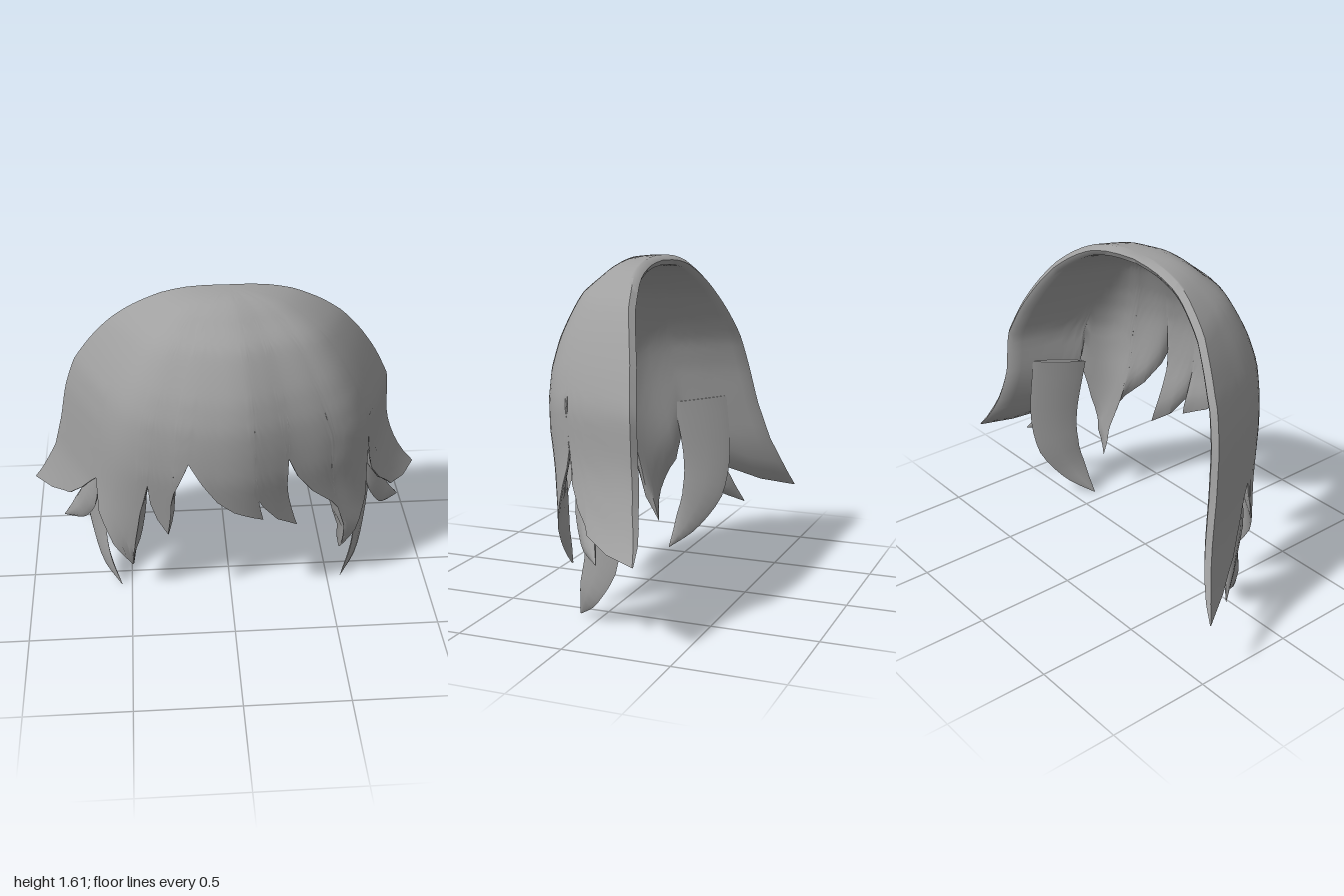
import * as THREE from 'three';
import { toCreasedNormals } from 'three/addons/utils/BufferGeometryUtils.js';

const hair = new THREE.MeshStandardMaterial({ color: 0xa0a0a0, side: THREE.DoubleSide });
hair.name = 'hair grey';

const TOP = 1.62;
const depth = (y) => Math.sqrt(Math.max(0, TOP - y));

// Interpolates a [height, value] table that runs from the crown downwards.
function lookup(table, y) {
  const s = depth(y);
  for (let i = 1; i < table.length; i++) {
    const s0 = depth(table[i - 1][0]), s1 = depth(table[i][0]);
    if (s <= s1) return THREE.MathUtils.lerp(table[i - 1][1], table[i][1], (s - s0) / (s1 - s0));
  }
  return table[table.length - 1][1];
}

// Half width, rim depth and front depth of the scalp shell at each height.
const dome = [[TOP, 0], [1.61, 0.17], [1.58, 0.3], [1.52, 0.42], [1.43, 0.54], [1.31, 0.64], [1.16, 0.735]];
const widthRight = [...dome, [1.0, 0.785], [0.8, 0.82], [0.6, 0.865], [0.5, 0.905], [0.4, 0.95], [0.31, 1]];
const widthLeft = [...dome, [1.0, 0.81], [0.8, 0.82], [0.7, 0.84], [0.6, 0.88], [0.5, 0.93], [0.41, 1]];
const rim = [[TOP, -0.04], [1.55, -0.075], [1.42, -0.125], [1.2, -0.2], [1.0, -0.24]];
const rimRight = [...rim, [0.8, -0.28], [0.6, -0.34], [0.4, -0.42], [0.31, -0.46]];
const rimLeft = [...rim, [0.8, -0.25], [0.6, -0.28], [0.41, -0.33], [0.3, -0.36]];
const front = [[TOP, -0.04], [1.61, 0.08], [1.56, 0.175], [1.53, 0.21], [1.46, 0.3], [1.37, 0.355], [1.25, 0.415],
  [1.12, 0.45], [1.0, 0.455], [0.85, 0.45], [0.7, 0.42], [0.5, 0.38], [0.3, 0.33], [0.17, 0.25]];

// Forward bulge across the width, from right rim to left rim.
const bulge = new THREE.CubicInterpolant(
  [-1, -0.94, -0.87, -0.75, -0.65, -0.37, -0.08, 0.08, 0.2, 0.33, 0.55, 0.74, 0.84, 0.93, 1],
  [0, 0.14, 0.3, 0.57, 0.73, 0.91, 0.99, 0.99, 0.95, 0.89, 0.8, 0.66, 0.47, 0.22, 0], 1, [0]);

const halfWidth = (side, y) => lookup(side < 0 ? widthRight : widthLeft, y);

// Point on the shell; n runs from -1 (right rim) to 1 (left rim).
function shellPoint(n, y) {
  const back = lookup(n < 0 ? rimRight : rimLeft, y);
  return new THREE.Vector3(n * halfWidth(n, y), y, back + (lookup(front, y) - back) * bulge.evaluate(n)[0]);
}

// Lower edge of the fringe, tip by tip, as x and y.
const hairline = [
  [-1, 0.31], [-0.9, 0.35], [-0.8, 0.42], [-0.73, 0.52], [-0.65, 0.66],
  [-0.645, 0.48], [-0.58, 0.32], [-0.49, 0.17], [-0.48, 0.3], [-0.46, 0.5], [-0.42, 0.68], [-0.4, 0.78],
  [-0.39, 0.67], [-0.36, 0.57], [-0.31, 0.48], [-0.31, 0.6], [-0.28, 0.76], [-0.21, 0.95],
  [-0.15, 0.84], [-0.08, 0.73], [0, 0.66], [0.14, 0.59], [0.12, 0.68], [0.09, 0.77],
  [0.14, 0.67], [0.21, 0.57], [0.31, 0.5], [0.27, 0.6], [0.25, 0.75], [0.25, 0.94],
  [0.3, 0.82], [0.38, 0.7], [0.48, 0.6], [0.56, 0.48], [0.57, 0.35], [0.55, 0.24],
  [0.62, 0.36], [0.66, 0.55], [0.67, 0.8], [0.7, 0.66], [0.75, 0.57], [0.83, 0.47], [0.92, 0.425], [1, 0.41],
];

function makeGeometry(positions, index) {
  const geometry = new THREE.BufferGeometry();
  geometry.setAttribute('position', new THREE.Float32BufferAttribute(positions, 3));
  geometry.setIndex(index);
  return toCreasedNormals(geometry, 1.0);
}

function fringeGeometry() {
  const SUB = 3, ROWS = 30;
  const ends = [];
  for (let i = 0; i < hairline.length - 1; i++) {
    for (let k = 0; k < SUB; k++) {
      const f = k / SUB, [a, b] = [hairline[i], hairline[i + 1]];
      ends.push([a[0] + (b[0] - a[0]) * f, a[1] + (b[1] - a[1]) * f]);
    }
  }
  ends.push(hairline[hairline.length - 1]);
  const last = ends.length - 1;
  const bottom = ends.map(([x, y]) => THREE.MathUtils.clamp(x / halfWidth(x, y), -1, 1));
  // Column starts keep their order and are spread more evenly than the ends.
  const start = [...bottom].sort((a, b) => a - b).map((n, i) => 0.65 * n + 0.35 * (2 * i / last - 1));

  // Every column runs from the crown to the hairline, outside and inside.
  const outer = [], inner = [], rolled = [];
  ends.forEach(([, yEnd], i) => {
    for (let j = 0; j <= ROWS; j++) {
      const v = j / ROWS;
      const n = start[i] + (bottom[i] - start[i]) * v ** 4;
      const p = shellPoint(n, TOP - (TOP - yEnd) * v ** 1.7);
      const inward = new THREE.Vector3(0, Math.min(p.y, 0.8), -0.3).sub(p).normalize();
      const thickness = 0.05 * (1 - 0.85 * Math.exp((yEnd - p.y) / 0.07));
      const q = p.clone().addScaledVector(inward, thickness);
      outer.push(p.x, p.y, p.z);
      inner.push(q.x, q.y, q.z);
      // Rounded back edge along both rims
      if (i === 0 || i === last) rolled.push((p.x + q.x) / 2, (p.y + q.y) / 2, (p.z + q.z) / 2 - thickness * 0.4);
    }
  });

  const index = [], row = ROWS + 1, off = ends.length * row;
  const quad = (a, b, c, d) => index.push(a, b, c, a, c, d);
  for (let i = 0; i < last; i++) {
    for (let j = 0; j < ROWS; j++) {
      const a = i * row + j, b = a + row;
      quad(a, a + 1, b + 1, b);
      quad(off + a, off + b, off + b + 1, off + a + 1);
    }
    const d = i * row + ROWS, c = d + row;
    quad(d, off + d, off + c, c);
  }
  for (let j = 0; j < ROWS; j++) {
    const m = 2 * off + j, k = m + row, r = last * row + j;
    quad(j, m, m + 1, j + 1);
    quad(m, off + j, off + j + 1, m + 1);
    quad(r, r + 1, k + 1, k);
    quad(k, k + 1, off + r + 1, off + r);
  }
  return makeGeometry([...outer, ...inner, ...rolled], index);
}

// Tapered lock with a lens-shaped section, swept along a curve.
function lockGeometry(points, halfWidths, thickness) {
  const curve = new THREE.CatmullRomCurve3(points.map((p) => new THREE.Vector3(...p)));
  const STEPS = 14, SIDES = 8;
  const outward = new THREE.Vector3(Math.sign(points[0][0]) * 0.9, 0, 0.42).normalize();
  const positions = [], index = [];
  for (let i = 0; i <= STEPS; i++) {
    const t = i / STEPS, f = t * (halfWidths.length - 1), k = Math.min(Math.floor(f), halfWidths.length - 2);
    const w = THREE.MathUtils.lerp(halfWidths[k], halfWidths[k + 1], f - k);
    const p = curve.getPoint(t);
    const across = curve.getTangent(t).cross(outward).normalize();
    for (let s = 0; s < SIDES; s++) {
      const a = (s / SIDES) * Math.PI * 2;
      const v = p.clone().addScaledVector(across, Math.cos(a) * w)
        .addScaledVector(outward, Math.sin(a) * thickness * Math.min(1, w / 0.05));
      positions.push(v.x, v.y, v.z);
    }
  }
  for (let i = 0; i < STEPS; i++) {
    for (let s = 0; s < SIDES; s++) {
      const a = i * SIDES + s, b = i * SIDES + ((s + 1) % SIDES);
      index.push(a, b, b + SIDES, a, b + SIDES, a + SIDES);
    }
  }
  for (let s = 1; s < SIDES - 1; s++) index.push(0, s + 1, s);
  return makeGeometry(positions, index);
}

export function createModel() {
  const group = new THREE.Group();
  group.name = 'hairFringe';
  const add = (name, geometry) => {
    const mesh = new THREE.Mesh(geometry, hair);
    mesh.name = name;
    group.add(mesh);
  };

  add('fringeShell', fringeGeometry());

  // Long flat locks under the shell on both sides.
  for (const [name, side, shift] of [['leftInnerLock', 1, 0], ['rightInnerLock', -1, -0.02]]) {
    const path = [[0.665, 0.82, -0.03], [0.69, 0.5, -0.06], [0.68, 0.31, -0.04], [0.64, 0.13, 0.04], [0.57, 0.01, 0.11]];
    add(name, lockGeometry(path.map(([x, y, z]) => [side * (x + shift), y, z]), [0.14, 0.125, 0.11, 0.065, 0.002], 0.012));
  }

  // Short locks flicking outwards in front of the rim tips, rooted inside the shell.
  const flickWidths = [0.03, 0.075, 0.06, 0.002];
  add('leftFlickLock', lockGeometry(
    [[0.65, 0.78, 0.04], [0.72, 0.56, 0.01], [0.79, 0.43, -0.04], [0.88, 0.36, -0.11]], flickWidths, 0.025));
  add('rightFlickLock', lockGeometry(
    [[-0.64, 0.75, 0.0], [-0.69, 0.5, -0.03], [-0.75, 0.35, -0.12], [-0.84, 0.23, -0.22]], flickWidths, 0.025));

  return group;
}
